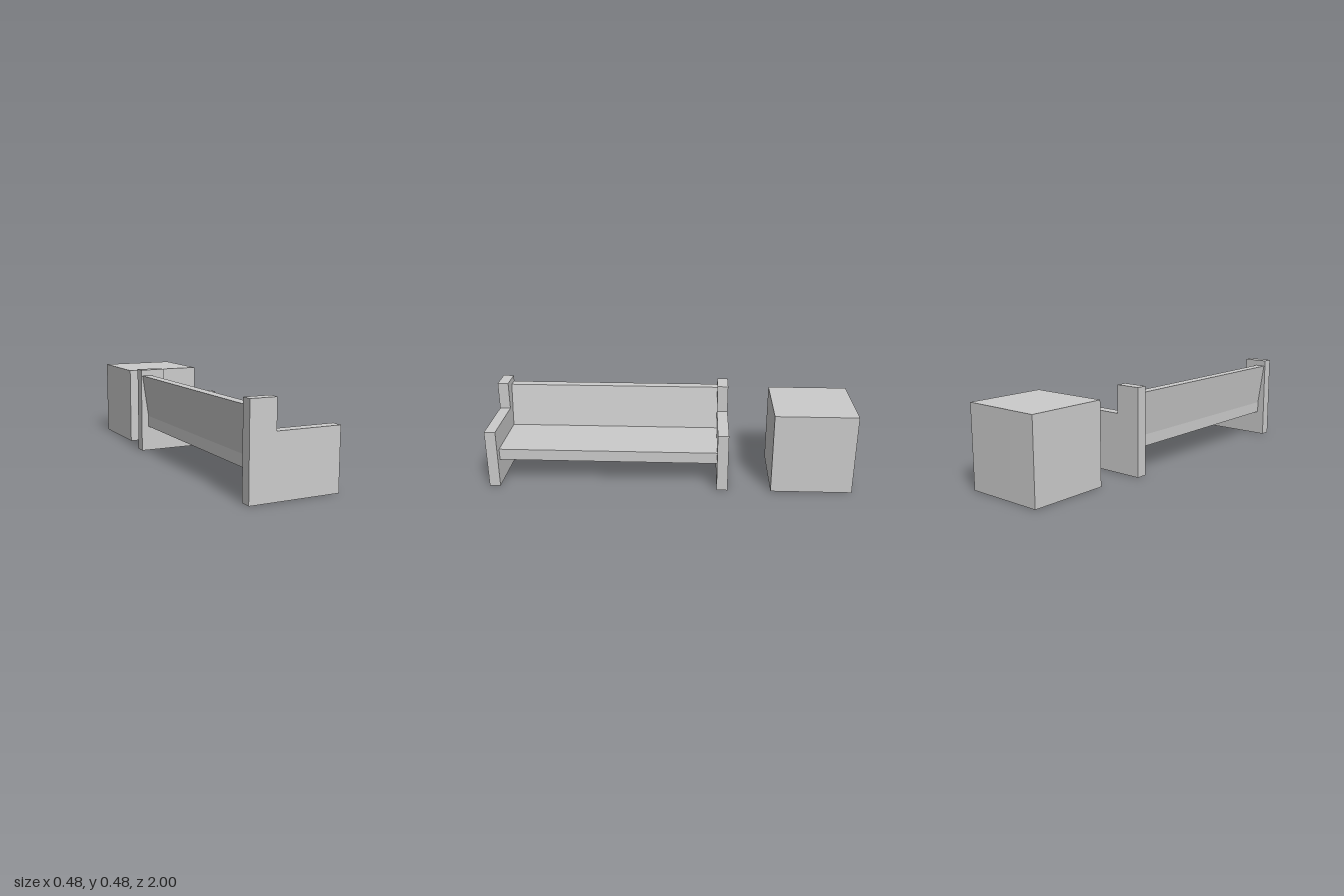
import * as THREE from 'three';

const material = new THREE.MeshStandardMaterial({ color: 0xcccccc, flatShading: true });

// Extrudes an x/y profile from z0 to z1
function slab(name, points, z0, z1) {
  const shape = new THREE.Shape(points.map(([x, y]) => new THREE.Vector2(x, y)));
  const geometry = new THREE.ExtrudeGeometry(shape, { depth: z1 - z0, bevelEnabled: false });
  geometry.translate(0, 0, z0);
  const mesh = new THREE.Mesh(geometry, material);
  mesh.name = name;
  return mesh;
}

function box(name, [x0, x1], [y0, y1], [z0, z1]) {
  const mesh = new THREE.Mesh(new THREE.BoxGeometry(x1 - x0, y1 - y0, z1 - z0), material);
  mesh.position.set((x0 + x1) / 2, (y0 + y1) / 2, (z0 + z1) / 2);
  mesh.name = name;
  return mesh;
}

export function createModel() {
  const model = new THREE.Group();
  model.name = 'benchAndBlock';

  const bench = new THREE.Group();
  bench.name = 'bench';
  model.add(bench);

  // Stepped end panels: tall behind the backrest, lower as armrests
  const panel = [[-0.242, 0], [0.242, 0], [0.242, 0.325], [-0.103, 0.325], [-0.103, 0.478], [-0.242, 0.478]];
  bench.add(slab('frontEndPanel', panel, 0.94, 1));
  bench.add(slab('rearEndPanel', panel, -0.322, -0.262));

  // Seat board and leaning backrest between the panels
  bench.add(box('seat', [-0.2, 0.2], [0.142, 0.205], [-0.262, 0.94]));
  const back = [[-0.2, 0.205], [-0.143, 0.205], [-0.18, 0.445], [-0.235, 0.445]];
  bench.add(slab('backrest', back, -0.262, 0.94));

  // Free-standing cube beside the bench
  model.add(box('cubeBlock', [-0.2, 0.242], [0, 0.445], [-1, -0.558]));

  return model;
}
